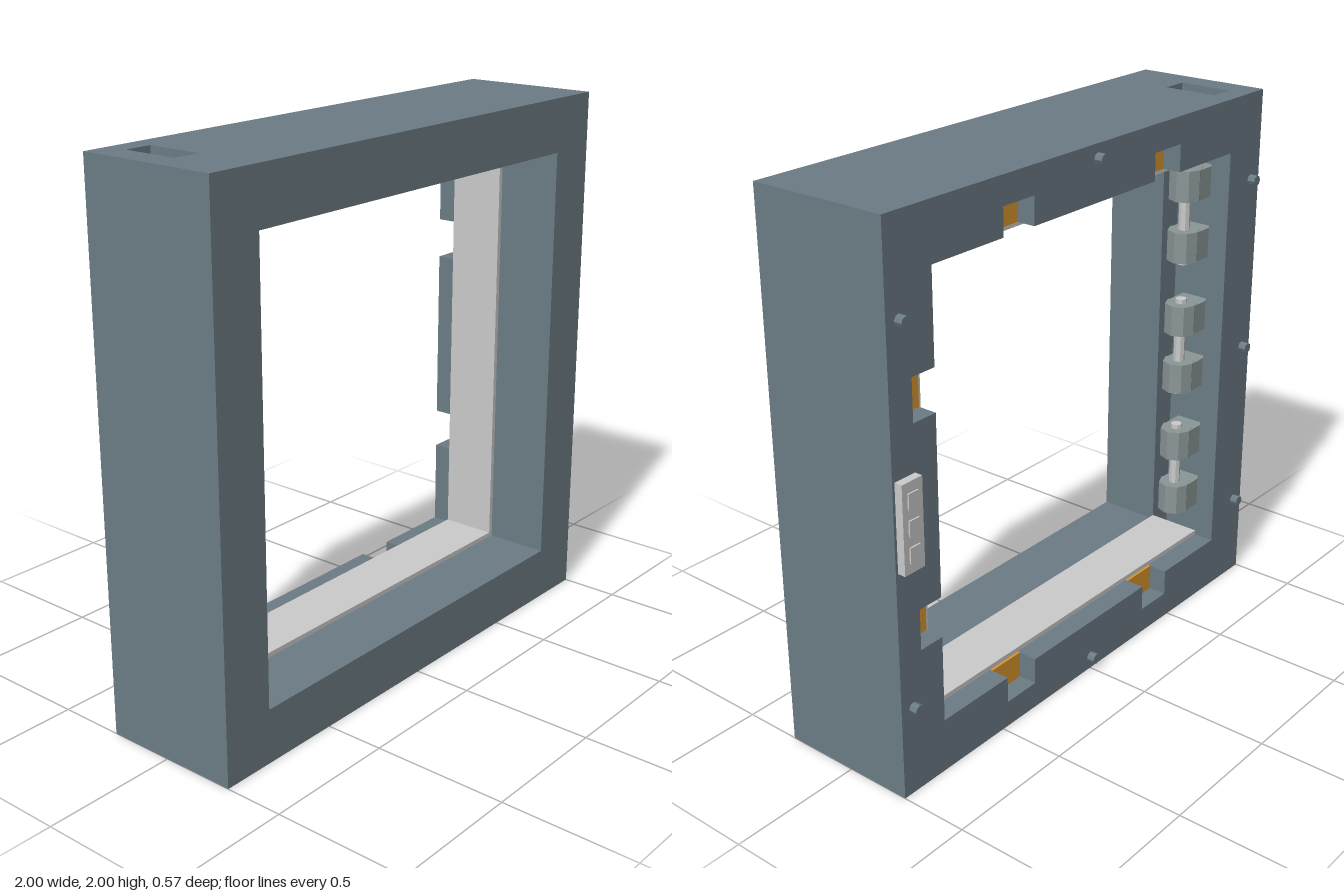
import * as THREE from 'three';

const mat = (color) => new THREE.MeshStandardMaterial({ color, flatShading: true });
const frameMat = mat(0x6c7c85), rollerMat = mat(0x8b9797), greyMat = mat(0xcccccc), latchMat = mat(0xd9962f);

// depth layers: back face, groove, front face
const BACK = -0.25, GROOVE_BACK = -0.17, GROOVE_FRONT = 0.04, FRONT = 0.28;
const GROOVE_Z = (GROOVE_BACK + GROOVE_FRONT) / 2;

function add(parent, name, geometry, material, x = 0, y = 0, z = 0) {
  const mesh = new THREE.Mesh(geometry, material);
  mesh.name = name;
  mesh.position.set(x, y, z);
  parent.add(mesh);
  return mesh;
}
const box = (w, h, d) => new THREE.BoxGeometry(w, h, d);
const vectors = (pts) => pts.map(([x, y]) => new THREE.Vector2(x, y));

function slab(outline, hole, z0, z1) {
  const shape = new THREE.Shape(vectors(outline));
  if (hole) shape.holes.push(new THREE.Path(vectors(hole)));
  return new THREE.ExtrudeGeometry(shape, { depth: z1 - z0, bevelEnabled: false }).translate(0, 0, z0);
}

// opening outline with two notches on the bottom, left and top sides
function notchedOpening() {
  const side = [[-0.8, 0.8], [-0.475, 0.8], [-0.475, 0.9], [-0.325, 0.9], [-0.325, 0.8],
    [0.325, 0.8], [0.325, 0.9], [0.475, 0.9], [0.475, 0.8]];
  const pts = [];
  for (let k = 0; k < 3; k++) {
    const c = [1, 0, -1][k], s = [0, 1, 0][k];
    for (const [t, d] of side) pts.push([c * t + s * d, s * t - c * d]);
  }
  pts.push([-0.8, 0.8]);
  return pts;
}

export function createModel() {
  const root = new THREE.Group();
  const model = new THREE.Group();   // centred on the opening
  model.name = 'windowFrame';
  model.position.y = 1;
  root.add(model);

  // frame in three layers; the middle one leaves the roller channel open
  const outer = [[-1, -1], [1, -1], [1, 1], [-1, 1]];
  const inner = [[-0.8, -0.8], [0.8, -0.8], [0.8, 0.8], [-0.8, 0.8]];
  add(model, 'frontFrame', slab(outer, inner, GROOVE_FRONT, FRONT), frameMat);
  add(model, 'backFrame', slab(outer, notchedOpening(), BACK, GROOVE_BACK), frameMat);
  const cShape = [[-0.8, -1], [1, -1], [1, 1], [-0.8, 1], [-0.8, 0.8], [0.8, 0.8], [0.8, -0.8], [-0.8, -0.8]];
  add(model, 'middleFrame', slab(cShape, null, GROOVE_BACK, GROOVE_FRONT), frameMat);
  add(model, 'channelWall', box(0.1, 2, GROOVE_FRONT - GROOVE_BACK), frameMat, -0.95, 0, GROOVE_Z);

  // lining strip and two latches on the bottom, left and top sides
  for (let k = 0; k < 3; k++) {
    const side = new THREE.Group();
    side.name = ['bottomLining', 'leftLining', 'topLining'][k];
    side.rotation.z = k * Math.PI / 2;
    model.add(side);
    add(side, 'liningStrip', box(1.6, 0.018, GROOVE_FRONT - GROOVE_BACK), greyMat, 0, -0.791, GROOVE_Z);
    for (const x of [-0.4, 0.4]) add(side, 'latch', box(0.15, 0.1, 0.01), latchMat, x, -0.85, GROOVE_BACK - 0.005);
  }

  // three roller pairs in the right channel, each on its own shaft
  for (const y of [-0.53, 0, 0.535]) {
    const pair = new THREE.Group();
    pair.name = 'rollerPair';
    pair.position.set(-0.797, y, -0.061);
    model.add(pair);
    add(pair, 'rollerShaft', new THREE.CylinderGeometry(0.022, 0.022, 0.395, 8), greyMat);
    for (const dy of [-0.12, 0.12]) {
      add(pair, 'roller', new THREE.CylinderGeometry(0.0625, 0.0625, 0.12, 8), rollerMat, 0, dy);
      add(pair, 'rollerBracket', box(0.103, 0.116, 0.12), rollerMat, -0.0515, dy);
    }
  }

  // bolts on the back
  const bolts = [[0.945, 0.67], [0.945, -0.67], [0, 0.95], [0, -0.95], [-0.945, 0.67], [-0.945, 0], [-0.945, -0.67],
    ];
  for (const [x, y] of bolts) {
    add(model, 'bolt', new THREE.CylinderGeometry(0.02, 0.02, 0.03, 8).rotateX(Math.PI / 2), frameMat, x, y, BACK - 0.015);
  }

  // control panel with three buttons
  add(model, 'controlPanel', box(0.09, 0.315, 0.03), greyMat, 0.945, 0.003, BACK - 0.015);
  for (const y of [-0.09, 0.003, 0.096]) {
    add(model, 'button', box(0.045, 0.055, 0.006), greyMat, 0.945, y, BACK - 0.033);
  }
  return root;
}
